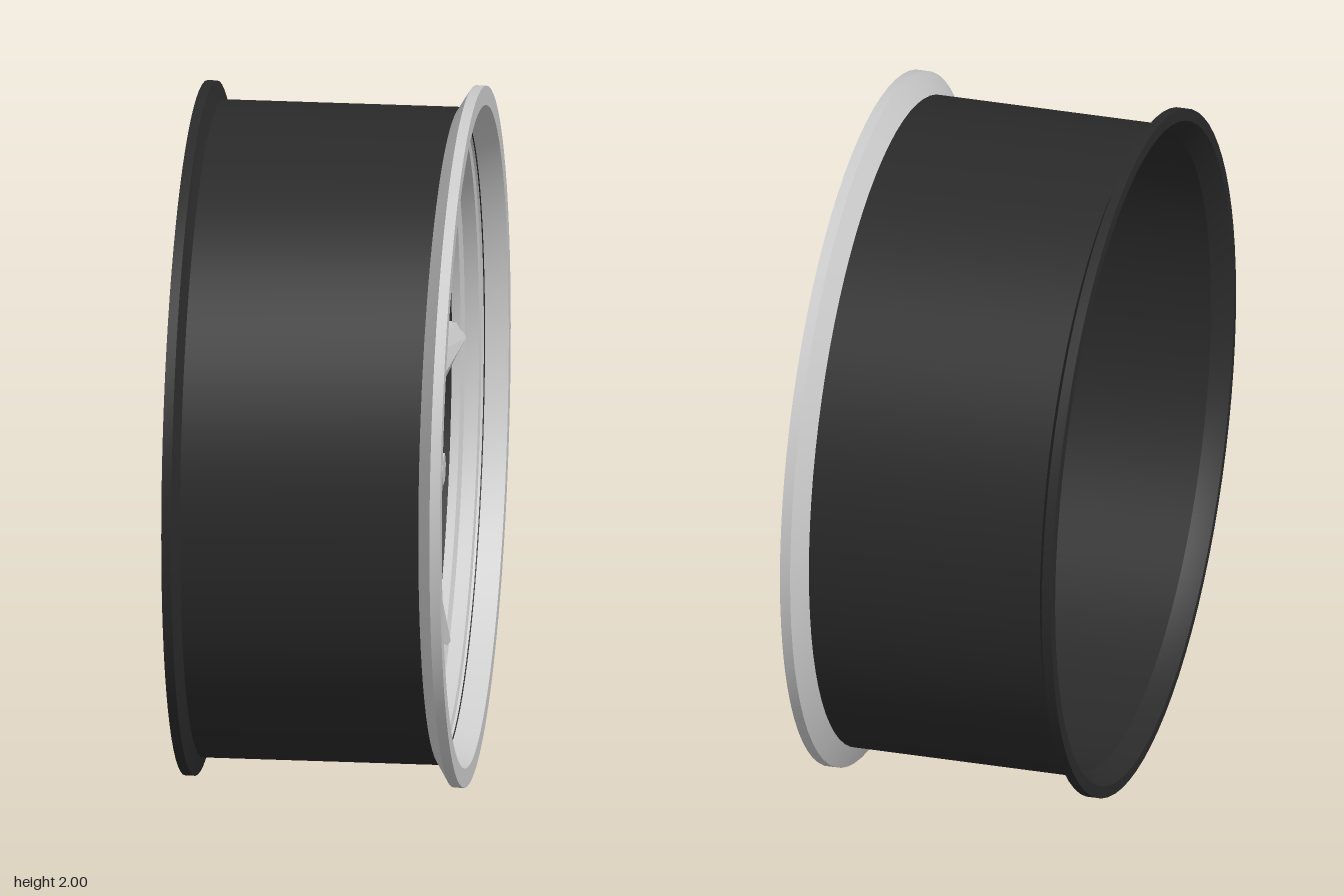
import * as THREE from 'three';
import { toCreasedNormals } from 'three/addons/utils/BufferGeometryUtils.js';

const metal = new THREE.MeshStandardMaterial({ color: 0xcccccc });
const facetedMetal = new THREE.MeshStandardMaterial({ color: 0xcccccc, flatShading: true });
const black = new THREE.MeshStandardMaterial({ color: 0x2a2a2a });
const blackShell = new THREE.MeshStandardMaterial({ color: 0x2a2a2a, side: THREE.DoubleSide });

function part(name, geometry, material) {
  const mesh = new THREE.Mesh(geometry, material);
  mesh.name = name;
  return mesh;
}

// Closed ring turned about local z, from [radius, z] points running
// upward in z on the outside and downward on the inside
function ring(points) {
  const pts = [...points, points[0]].map(([r, z]) => new THREE.Vector2(r, z));
  return toCreasedNormals(new THREE.LatheGeometry(pts, 80).rotateX(Math.PI / 2), 0.4);
}

// Solid disc between two z positions
function disc(radius, z0, z1, sides) {
  return new THREE.CylinderGeometry(radius, radius, z1 - z0, sides)
    .rotateX(Math.PI / 2).translate(0, 0, (z0 + z1) / 2);
}

// Tapered spoke along +x with a flat back and a ridged front
function spokeGeometry() {
  const sections = [
    { r: 0.345, w: 0.104, back: 0.168, edge: 0.205, ridge: 0.24 },
    { r: 0.882, w: 0.048, back: 0.235, edge: 0.26, ridge: 0.285 },
  ];
  const positions = [];
  for (const s of sections) {
    positions.push(s.r, -s.w, s.back, s.r, s.w, s.back, s.r, s.w, s.edge,
      s.r, 0, s.ridge, s.r, -s.w, s.edge);
  }
  const index = [];
  for (let i = 0; i < 5; i++) {
    const j = (i + 1) % 5;
    index.push(i, j, j + 5, i, j + 5, i + 5);
  }
  for (let i = 1; i < 4; i++) {
    index.push(0, i + 1, i, 5, 5 + i, 6 + i);
  }
  const g = new THREE.BufferGeometry();
  g.setAttribute('position', new THREE.Float32BufferAttribute(positions, 3));
  g.setIndex(index);
  const flat = g.toNonIndexed();
  flat.computeVertexNormals();
  return flat;
}

export function createModel() {
  const model = new THREE.Group();
  model.name = 'wheel';

  // Built facing local z, then turned so the outer face looks along +x
  const wheel = new THREE.Group();
  wheel.name = 'wheelAssembly';
  wheel.rotation.y = Math.PI / 2;
  wheel.position.y = 1;
  model.add(wheel);

  // Dark barrel with a flared inner lip
  wheel.add(part('barrel', ring([
    [0.955, -0.4], [0.99, -0.398], [0.99, -0.37], [0.975, -0.365], [0.937, -0.35],
    [0.937, 0.335], [0.915, 0.335], [0.915, -0.345], [0.935, -0.375],
  ]), blackShell));

  // Stepped outer lip
  wheel.add(part('outerLip', ring([
    [0.915, 0.245], [0.934, 0.245], [0.934, 0.33], [1, 0.37], [1, 0.4],
    [0.945, 0.4], [0.912, 0.325], [0.895, 0.32], [0.892, 0.28], [0.868, 0.27],
    [0.868, 0.245],
  ]), metal));

  // Hub and centre cap
  wheel.add(part('hub', toCreasedNormals(disc(0.388, 0.165, 0.22, 64), 0.5), metal));
  wheel.add(part('centreCap', disc(0.255, 0.19, 0.224, 64), black));

  // Six spokes
  const spoke = spokeGeometry();
  for (let i = 0; i < 6; i++) {
    const mesh = part('spoke', spoke, facetedMetal);
    mesh.rotation.z = (i * Math.PI) / 3;
    wheel.add(mesh);
  }

  // Five hexagonal bolts
  const bolt = disc(0.047, 0.2, 0.285, 6).rotateZ(Math.PI / 2);
  for (let i = 0; i < 5; i++) {
    const a = Math.PI + (i * Math.PI * 2) / 5;
    const mesh = part('bolt', bolt, facetedMetal);
    mesh.position.set(0.318 * Math.cos(a), 0.318 * Math.sin(a), 0);
    wheel.add(mesh);
  }

  return model;
}
